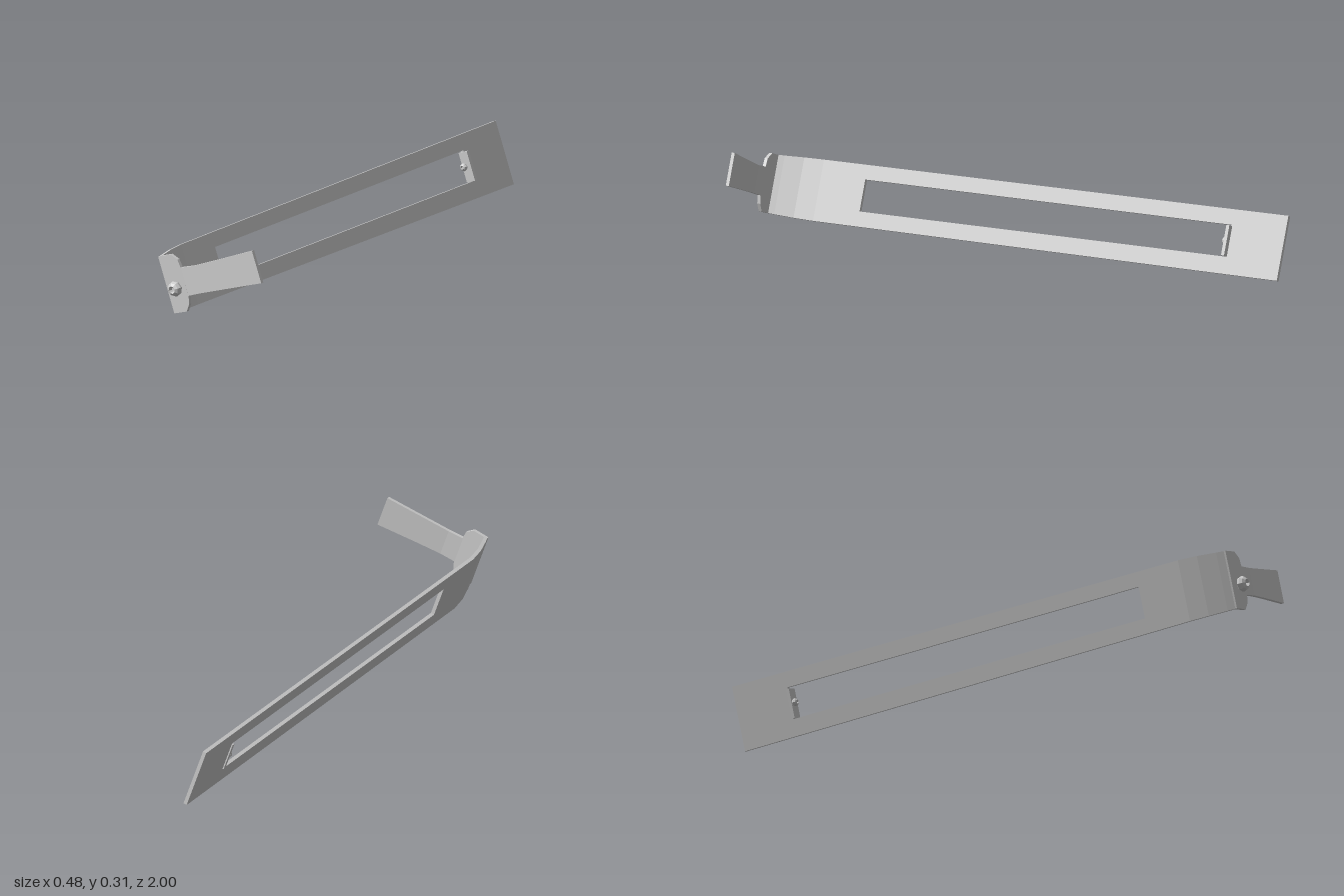
import * as THREE from 'three';

const material = new THREE.MeshStandardMaterial({ color: 0xcccccc, flatShading: true, side: THREE.DoubleSide });

function mesh(name, geometry) {
  const m = new THREE.Mesh(geometry, material);
  m.name = name;
  return m;
}

// Closed four-sided bar; corners run counter-clockwise seen from the far end
function bar(name, sections) {
  const pos = [];
  const quad = (a, b, c, d) => pos.push(...a, ...b, ...c, ...a, ...c, ...d);
  for (let s = 0; s < sections.length - 1; s++) {
    const p = sections[s], q = sections[s + 1];
    for (let i = 0; i < 4; i++) {
      const j = (i + 1) % 4;
      quad(p[i], p[j], q[j], q[i]);
    }
  }
  const [a, b, c, d] = sections[0];
  quad(d, c, b, a);
  quad(...sections[sections.length - 1]);
  const g = new THREE.BufferGeometry();
  g.setAttribute('position', new THREE.Float32BufferAttribute(pos, 3));
  g.computeVertexNormals();
  return mesh(name, g);
}

// Strap stations: z, outer x, lower y, upper y
const stations = [
  [-1, -0.155, 0.057, 0.281],
  [0.8, -0.117, 0.066, 0.277],
  [0.87, -0.105, 0.067, 0.275],
  [0.935, -0.085, 0.069, 0.271],
  [0.96, -0.076, 0.07, 0.27],
];
const THICK = 0.013;
const SLOT = { back: -0.79, front: 0.63, low: 0.117, high: 0.227 };

function stationAt(z) {
  let k = 0;
  while (k < stations.length - 2 && z > stations[k + 1][0]) k++;
  const p = stations[k], q = stations[k + 1];
  const t = (z - p[0]) / (q[0] - p[0]);
  return p.map((v, i) => v + (q[i] - v) * t);
}

function strapSection(z, low, high) {
  const [, x, y0, y1] = stationAt(z);
  const lo = low ?? y0, hi = high ?? y1;
  return [[x, lo, z], [x + THICK, lo, z], [x + THICK, hi, z], [x, hi, z]];
}

// Domed fastener head with a recessed centre, facing +z
function screw(name, x, y, z, scale) {
  const profile = [[0.016, 0], [0.025, 0.007], [0.027, 0.016], [0.022, 0.026], [0.013, 0.033], [0.008, 0.021], [0, 0.02]]
    .map(([r, h]) => new THREE.Vector2(r * scale, h * scale));
  const m = mesh(name, new THREE.LatheGeometry(profile, 8).rotateX(Math.PI / 2));
  m.position.set(x, y, z);
  return m;
}

export function createModel() {
  const model = new THREE.Group();
  model.name = 'slottedBracket';

  // Everything is built upright, then tilted about z
  const body = new THREE.Group();
  body.name = 'tiltedBody';
  body.rotation.z = 0.352;
  model.add(body);

  // Long strap: solid ends, with two rails beside the slot
  const strap = new THREE.Group();
  strap.name = 'strap';
  strap.add(
    bar('strapBackEnd', [-1, SLOT.back].map(z => strapSection(z))),
    bar('lowerRail', [SLOT.back, SLOT.front].map(z => strapSection(z, undefined, SLOT.low))),
    bar('upperRail', [SLOT.back, SLOT.front].map(z => strapSection(z, SLOT.high))),
    bar('strapFrontEnd', [SLOT.front, 0.8, 0.87, 0.935, 0.96].map(z => strapSection(z))),
  );
  body.add(strap);

  // Flange turned across the front of the strap
  const outline = [
    [-0.076, 0.07], [-0.021, 0.067], [-0.002, 0.09], [0.006, 0.118],
    [0.006, 0.217], [0.002, 0.246], [-0.021, 0.268], [-0.076, 0.27],
  ].map(p => new THREE.Vector2(...p));
  const flange = mesh('flange', new THREE.ExtrudeGeometry(new THREE.Shape(outline), { depth: 0.012, bevelEnabled: false }));
  flange.position.z = 0.955;
  body.add(flange);

  // Arm sweeping out and slightly back from the flange: x, lower y, upper y, front z
  const arm = [
    [0.004, 0.118, 0.217, 0.967],
    [0.06, 0.117, 0.213, 0.963],
    [0.15, 0.112, 0.214, 0.95],
    [0.296, 0.103, 0.217, 0.927],
  ].map(([x, lo, hi, z]) => [[x, lo, z - 0.012], [x, hi, z - 0.012], [x, hi, z], [x, lo, z]]);
  body.add(bar('arm', arm));

  // Small tab folded inward at the back of the slot
  const tab = mesh('slotTab', new THREE.BoxGeometry(0.037, 0.104, 0.012));
  tab.position.set(-0.1365, 0.17, -0.788);
  body.add(tab);

  body.add(
    screw('flangeScrew', -0.0315, 0.152, 0.967, 1),
    screw('tabScrew', -0.1435, 0.172, -0.782, 0.52),
  );
  return model;
}
